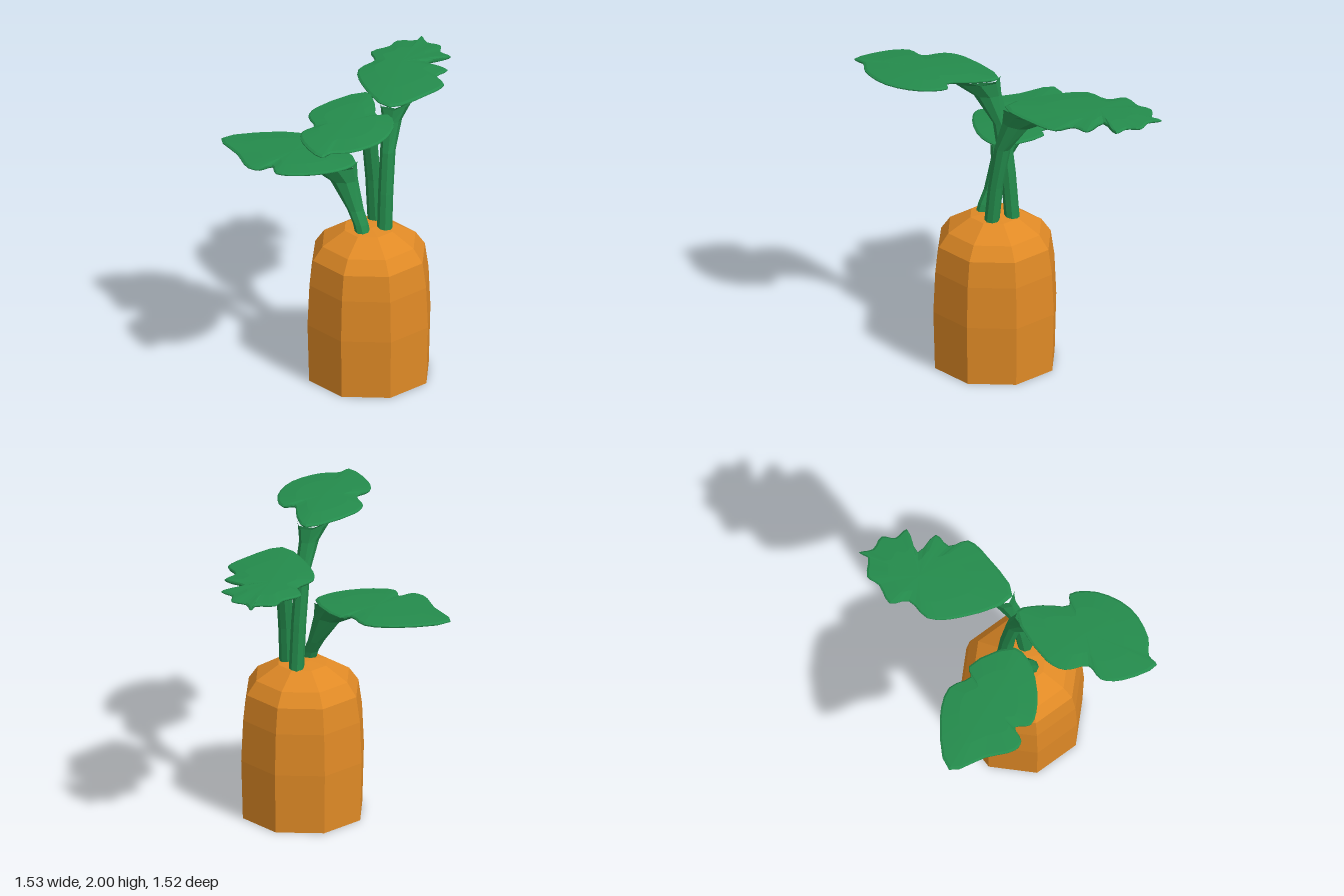
import * as THREE from 'three';

const orange = new THREE.MeshStandardMaterial({ color: 0xe08a26, flatShading: true });
orange.name = 'rootOrange';
const green = new THREE.MeshStandardMaterial({ color: 0x248b4c, flatShading: true });
green.name = 'leafGreen';
const { lerp, degToRad } = THREE.MathUtils;

// Skin a stack of equal rings, each counterclockwise seen from above, bottom to top
function loft(rings) {
  const n = rings[0].length, idx = [];
  for (let i = 0; i < rings.length - 1; i++) {
    for (let j = 0; j < n; j++) {
      const a = i * n + j, b = i * n + (j + 1) % n;
      idx.push(a, b, b + n, a, b + n, a + n);
    }
  }
  const g = new THREE.BufferGeometry().setFromPoints(rings.flat());
  g.setIndex(idx);
  g.computeVertexNormals();
  return g;
}

// Lens-like blade: a smooth outline scaled about its centre at several heights
function bladeGeometry(height, [cx, cz], outline) {
  const curve = new THREE.CatmullRomCurve3(
    outline.map(([x, z]) => new THREE.Vector3(x, 0, z)), true, 'centripetal');
  const rim = curve.getPoints(outline.length * 3).slice(0, -1);
  if (THREE.ShapeUtils.area(rim.map(p => new THREE.Vector2(p.x, -p.z))) < 0) rim.reverse();
  const levels = [[0, -0.022], [0.6, -0.02], [0.96, -0.011], [1, -0.003],
    [1, 0.003], [0.96, 0.011], [0.6, 0.022], [0, 0.025]];
  return loft(levels.map(([s, dy]) => rim.map(p =>
    new THREE.Vector3(lerp(cx, p.x, s), height + dy, lerp(cz, p.z, s)))));
}

// Stalk: octagonal rings that lean to the blade's corner, then flare under it
function stalkGeometry(height, base, corner, [dx, dz]) {
  const low = 1, half = 0.045, neck = height - 0.3;
  // lean, span along the leaf, half width, inner y, outer y
  const steps = [
    [0, 0.09, half, low, low],
    [0.2, 0.09, half, (low + neck) / 2, (low + neck) / 2],
    [0.5, 0.1, half, neck, neck],
    [0.9, 0.17, 0.055, height - 0.11, height - 0.13],
    [1, 0.3, 0.085, height - 0.02, height - 0.055],
    [1, 0.5, 0.12, height - 0.002, height - 0.015],
  ];
  return loft(steps.map(([lean, span, w, yIn, yOut]) => {
    const x = lerp(base[0] - dx * half, corner[0], lean);
    const z = lerp(base[1] - dz * half, corner[1], lean);
    return Array.from({ length: 8 }, (_, i) => {
      const a = (i + 0.5) * Math.PI / 4, r = 1 / Math.cos(Math.PI / 8);
      const t = (Math.cos(a) * r + 1) / 2, u = span * t, s = Math.sin(a) * r * w;
      return new THREE.Vector3(x + dx * u + dz * s, lerp(yIn, yOut, t), z + dz * u - dx * s);
    });
  }));
}

function makeLeaf(name, height, base, corner, dir, centre, outline) {
  const group = new THREE.Group();
  group.name = name;
  const blade = new THREE.Mesh(bladeGeometry(height, centre, outline), green);
  blade.name = 'blade';
  const stalk = new THREE.Mesh(stalkGeometry(height, base, corner, dir), green);
  stalk.name = 'stalk';
  group.add(blade, stalk);
  return group;
}

export function createModel() {
  const model = new THREE.Group();
  model.name = 'carrot';

  // Eight-sided root with a rounded shoulder and a flat cut base
  const profile = [[0, 0], [0.405, 0], [0.416, 0.4], [0.403, 0.68], [0.378, 0.85],
    [0.315, 0.94], [0.165, 1.03], [0.05, 1.045], [0, 1.045]].map(p => new THREE.Vector2(...p));
  const root = new THREE.Mesh(new THREE.LatheGeometry(profile, 8, degToRad(39)), orange);
  root.name = 'root';
  root.position.set(-0.055, 0, 0.063);
  model.add(root);

  // Three leaves with lobed edges, each pointing out along a diagonal
  const q = Math.SQRT1_2;
  model.add(makeLeaf('upperLeaf', 1.975, [0.03, -0.02], [-0.065, 0.035], [-q, q], [-0.36, 0.39], [
    [-0.06, 0.03], [-0.08, 0.2], [-0.14, 0.36], [-0.07, 0.39], [-0.12, 0.56], [-0.3, 0.72],
    [-0.52, 0.755], [-0.64, 0.715], [-0.715, 0.74], [-0.735, 0.5], [-0.68, 0.37],
    [-0.57, 0.33], [-0.54, 0.18], [-0.44, 0.09],
  ]));
  model.add(makeLeaf('middleLeaf', 1.85, [0.025, 0.125], [0.085, 0.055], [q, -q], [0.42, -0.45], [
    [0.09, 0.06], [0.07, -0.3], [0.14, -0.5], [0.29, -0.57], [0.32, -0.69], [0.46, -0.71],
    [0.54, -0.76], [0.66, -0.71], [0.71, -0.75], [0.7, -0.66], [0.76, -0.58], [0.72, -0.5],
    [0.75, -0.41], [0.58, -0.4], [0.65, -0.25], [0.55, -0.2], [0.54, -0.07], [0.38, 0.01],
  ]));
  model.add(makeLeaf('lowerLeaf', 1.468, [-0.12, 0.12], [-0.125, 0.005], [-q, -q], [-0.42, -0.29], [
    [-0.115, 0], [-0.13, -0.32], [-0.2, -0.335], [-0.22, -0.49], [-0.4, -0.62], [-0.74, -0.685],
    [-0.745, -0.44], [-0.765, -0.24], [-0.72, -0.185], [-0.62, -0.19], [-0.64, -0.09],
    [-0.52, 0], [-0.27, 0.055],
  ]));
  return model;
}
